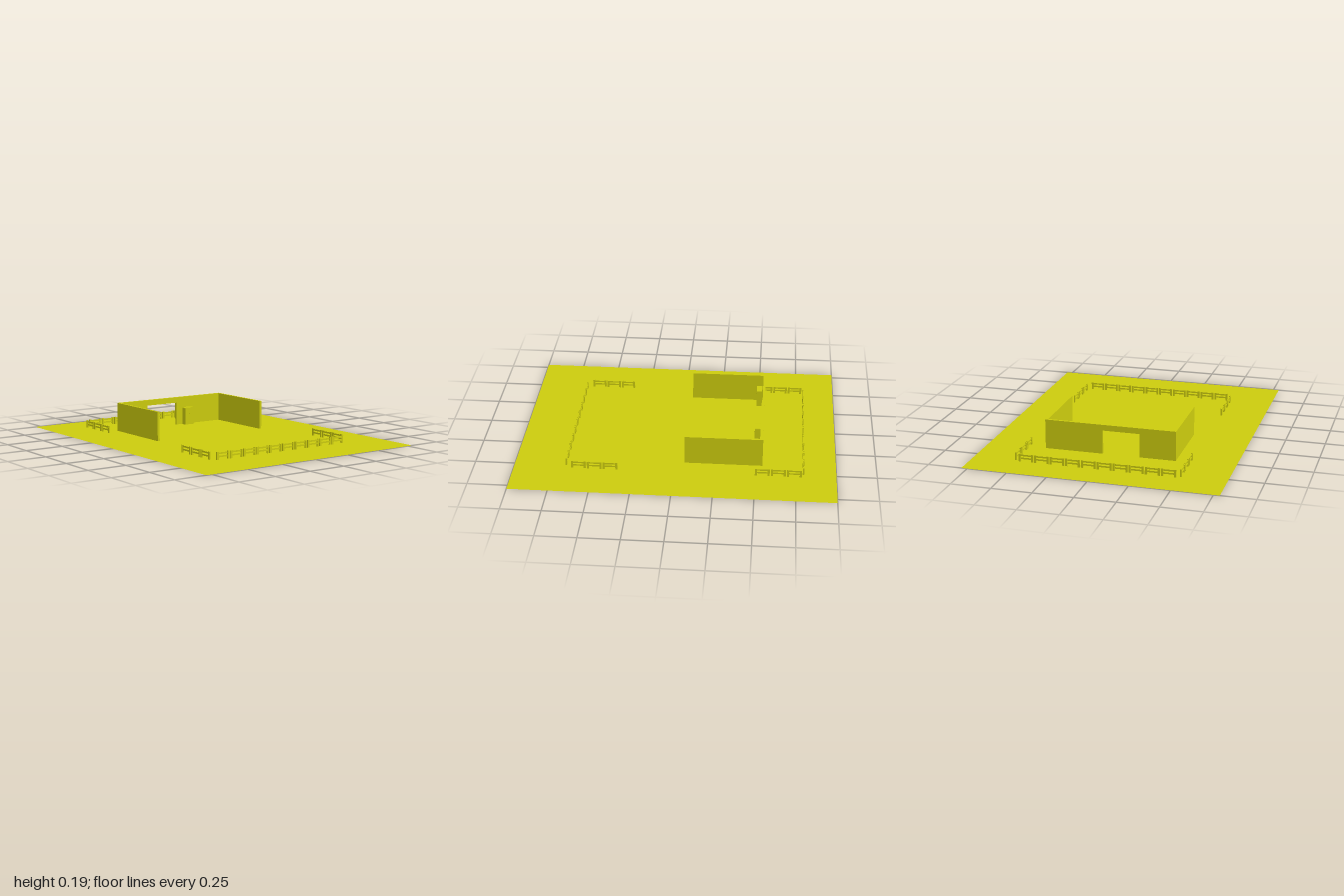
import * as THREE from 'three';

export function createModel() {
  const model = new THREE.Group();
  model.name = 'fencedYard';

  const yellow = new THREE.MeshStandardMaterial({ color: 0xcccc0e });
  yellow.name = 'yellow';
  const yellowSheet = new THREE.MeshStandardMaterial({ color: 0xcccc0e, side: THREE.DoubleSide });
  yellowSheet.name = 'yellowSheet';

  const add = (parent, name, geometry, x = 0, y = 0, z = 0, material = yellow) => {
    const mesh = new THREE.Mesh(geometry, material);
    mesh.name = name;
    mesh.position.set(x, y, z);
    parent.add(mesh);
    return mesh;
  };

  // Flat ground sheet
  add(model, 'ground', new THREE.PlaneGeometry(1.575, 2).rotateX(-Math.PI / 2), 0, 0, 0, yellowSheet);

  // Back wall with a doorway cut from its lower edge
  const height = 0.188, thick = 0.015;
  const wall = new THREE.Shape([
    [-0.418, 0], [-0.19, 0], [-0.19, 0.151], [0.045, 0.151],
    [0.045, 0], [0.414, 0], [0.414, height], [-0.418, height],
  ].map(([x, y]) => new THREE.Vector2(x, y)));
  add(model, 'backWall', new THREE.ExtrudeGeometry(wall, { depth: thick, bevelEnabled: false }), 0, 0, -0.543);

  // Side walls
  const sideLength = 0.473;
  for (const [name, x] of [['leftWall', 0.4065], ['rightWall', -0.4105]]) {
    add(model, name, new THREE.BoxGeometry(thick, height, sideLength), x, height / 2, -0.528 + sideLength / 2);
  }

  // Cabinets with softly rounded top corners and a small knob
  const w = 0.036, h = 0.117, r = 0.008;
  const outline = new THREE.Shape();
  outline.moveTo(-w, 0);
  outline.lineTo(w, 0);
  outline.lineTo(w, h - r);
  outline.quadraticCurveTo(w, h, w - r, h);
  outline.lineTo(-w + r, h);
  outline.quadraticCurveTo(-w, h, -w, h - r);
  outline.closePath();
  const cabinetGeometry = new THREE.ExtrudeGeometry(outline, { depth: 0.036, bevelEnabled: false, curveSegments: 4 });
  const knobGeometry = new THREE.SphereGeometry(0.003, 8, 6);
  for (const x of [-0.358, 0.126]) {
    const cabinet = new THREE.Group();
    cabinet.name = 'cabinet';
    cabinet.position.set(x, 0, -0.522);
    add(cabinet, 'cabinetBody', cabinetGeometry);
    add(cabinet, 'cabinetKnob', knobGeometry, 0, 0.075, 0.037);
    model.add(cabinet);
  }

  // Fence panel: two posts joined by two thin rails
  const panelWidth = 0.092, pitch = 0.0988, postWidth = 0.013, postHeight = 0.048;
  const postGeometry = new THREE.BoxGeometry(postWidth, postHeight, 0.009);
  const railGeometry = new THREE.BoxGeometry(panelWidth - postWidth, 0.01, 0.004);
  const makePanel = () => {
    const panel = new THREE.Group();
    panel.name = 'fencePanel';
    for (const side of [-1, 1]) {
      add(panel, 'fencePost', postGeometry, side * (panelWidth - postWidth) / 2, postHeight / 2, 0);
    }
    for (const y of [0.02, 0.039]) add(panel, 'fenceRail', railGeometry, 0, y, 0);
    return panel;
  };

  // Row of panels centred on a point, running along x or turned along z
  const addFence = (name, count, x, z, turned) => {
    const fence = new THREE.Group();
    fence.name = name;
    for (let i = 0; i < count; i++) {
      const panel = makePanel();
      panel.position.x = (i - (count - 1) / 2) * pitch;
      fence.add(panel);
    }
    fence.position.set(x, 0, z);
    if (turned) fence.rotation.y = Math.PI / 2;
    model.add(fence);
  };
  addFence('backFence', 10, 0.006, -0.798, false);
  addFence('frontFence', 10, 0.006, 0.677, false);
  for (const [side, x] of [['left', 0.521], ['right', -0.509]]) {
    addFence(side + 'BackFence', 3, x, -0.643, true);
    addFence(side + 'FrontFence', 3, x, 0.498, true);
  }

  return model;
}
